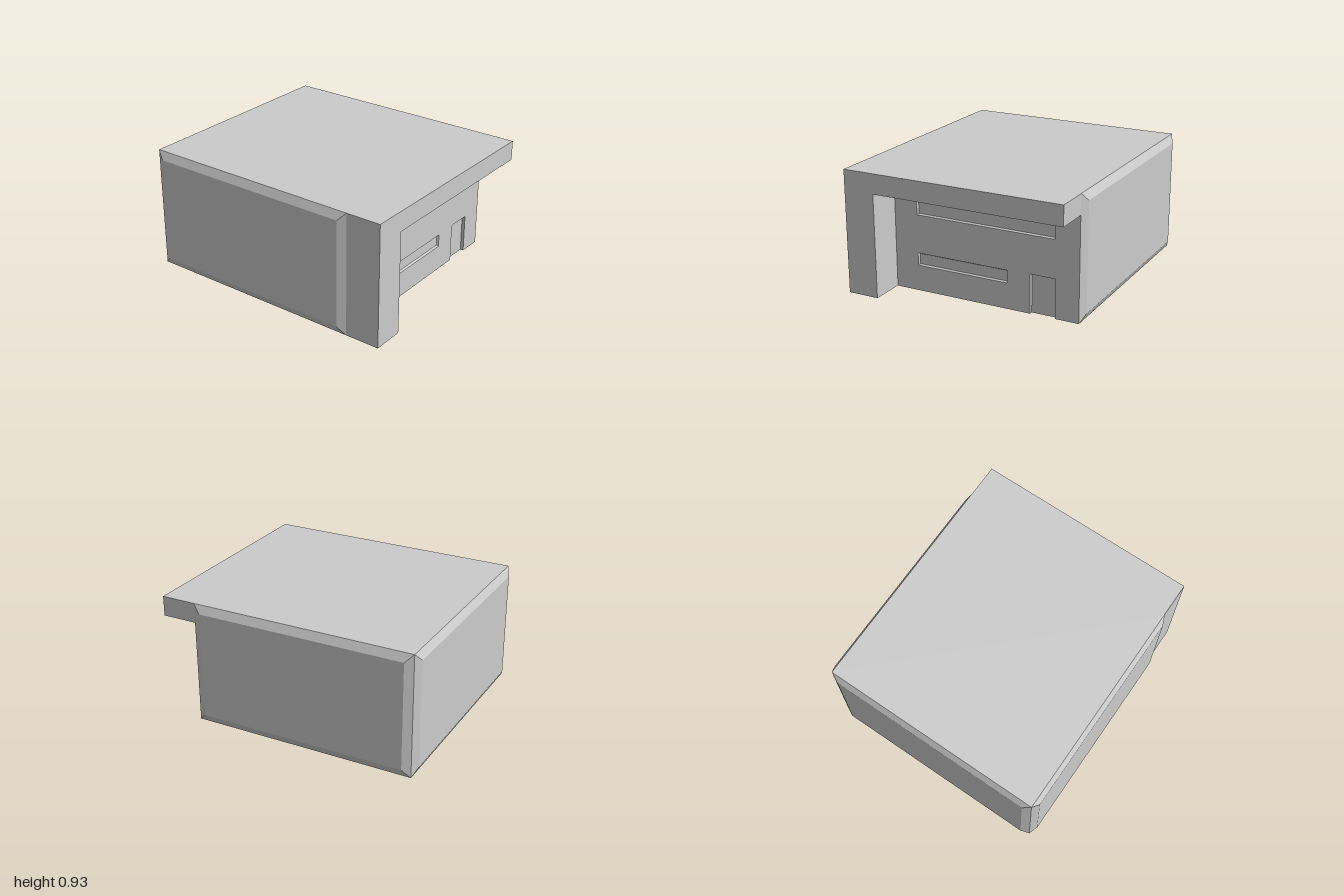
import * as THREE from 'three';

const W = 0.85, H = 0.93, BACK = -0.97, WALL = 0.735, FRONT = 1, DEPTH = 0.025;
const material = new THREE.MeshStandardMaterial({ color: 0xcccccc, flatShading: true });

// Closed shape from corner points
const outline = (pts, Type = THREE.Shape) => new Type(pts.map(([x, y]) => new THREE.Vector2(x, y)));

// Bevelled panel facing +z: outer ring at z = 0, inner ring at z = rise (negative for a recess)
function panelGeometry(w, h, bevel, rise) {
  const ring = (x, y, z) => [-x, -y, z, x, -y, z, x, y, z, -x, y, z];
  const index = [4, 5, 6, 4, 6, 7];
  for (let i = 0; i < 4; i++) {
    const j = (i + 1) % 4;
    index.push(i, j, j + 4, i, j + 4, i + 4);
  }
  const g = new THREE.BufferGeometry();
  g.setAttribute('position', new THREE.Float32BufferAttribute(
    [...ring(w / 2, h / 2, 0), ...ring(w / 2 - bevel, h / 2 - bevel, rise)], 3));
  g.setIndex(index);
  const flat = g.toNonIndexed();
  flat.computeVertexNormals();
  return flat;
}

export function createModel() {
  const group = new THREE.Group();
  const add = (name, geometry, x = 0, y = 0, z = 0, turn = 0) => {
    const mesh = new THREE.Mesh(geometry, material);
    mesh.name = name;
    mesh.position.set(x, y, z);
    mesh.rotation.y = turn;
    group.add(mesh);
  };
  const extrude = (shape, depth) => new THREE.ExtrudeGeometry(shape, { depth, bevelEnabled: false });

  // Main block, its front face doubling as the back of the door recess
  const wallBack = WALL - DEPTH, length = wallBack - BACK;
  add('mainBlock', new THREE.BoxGeometry(2 * W, H, length), 0, H / 2, (wallBack + BACK) / 2);

  // Raised panels on the sides and back
  const sideLength = WALL - BACK, midZ = (WALL + BACK) / 2;
  for (const [name, s] of [['leftPanel', 1], ['rightPanel', -1]])
    add(name, panelGeometry(sideLength, H, 0.06, 0.03), s * W, H / 2, midZ, s * Math.PI / 2);
  add('backPanel', panelGeometry(2 * W, H, 0.06, 0.03), 0, H / 2, BACK, Math.PI);

  // Front wall with a door notch and two long window slots
  const wall = outline([[-W, 0], [0.48, 0], [0.48, 0.295], [0.67, 0.295], [0.67, 0], [W, 0], [W, H], [-W, H]]);
  const slots = [
    { name: 'upperWindow', x0: -0.425, x1: 0.665, y0: 0.58, y1: 0.68 },
    { name: 'lowerWindow', x0: -0.425, x1: 0.3, y0: 0.195, y1: 0.29 },
  ];
  for (const { name, x0, x1, y0, y1 } of slots) {
    wall.holes.push(outline([[x0, y0], [x0, y1], [x1, y1], [x1, y0]], THREE.Path));
    add(name, panelGeometry(x1 - x0, y1 - y0, 0.008, -0.015), (x0 + x1) / 2, (y0 + y1) / 2, WALL);
  }
  add('frontWall', extrude(wall, DEPTH), 0, 0, wallBack);

  // Overhanging roof carried by a wide pier on one side
  const porch = outline([[-W, 0], [-0.61, 0], [-0.61, 0.78], [W, 0.78], [W, H], [-W, H]]);
  add('porch', extrude(porch, FRONT - WALL), 0, 0, WALL);

  return group;
}
